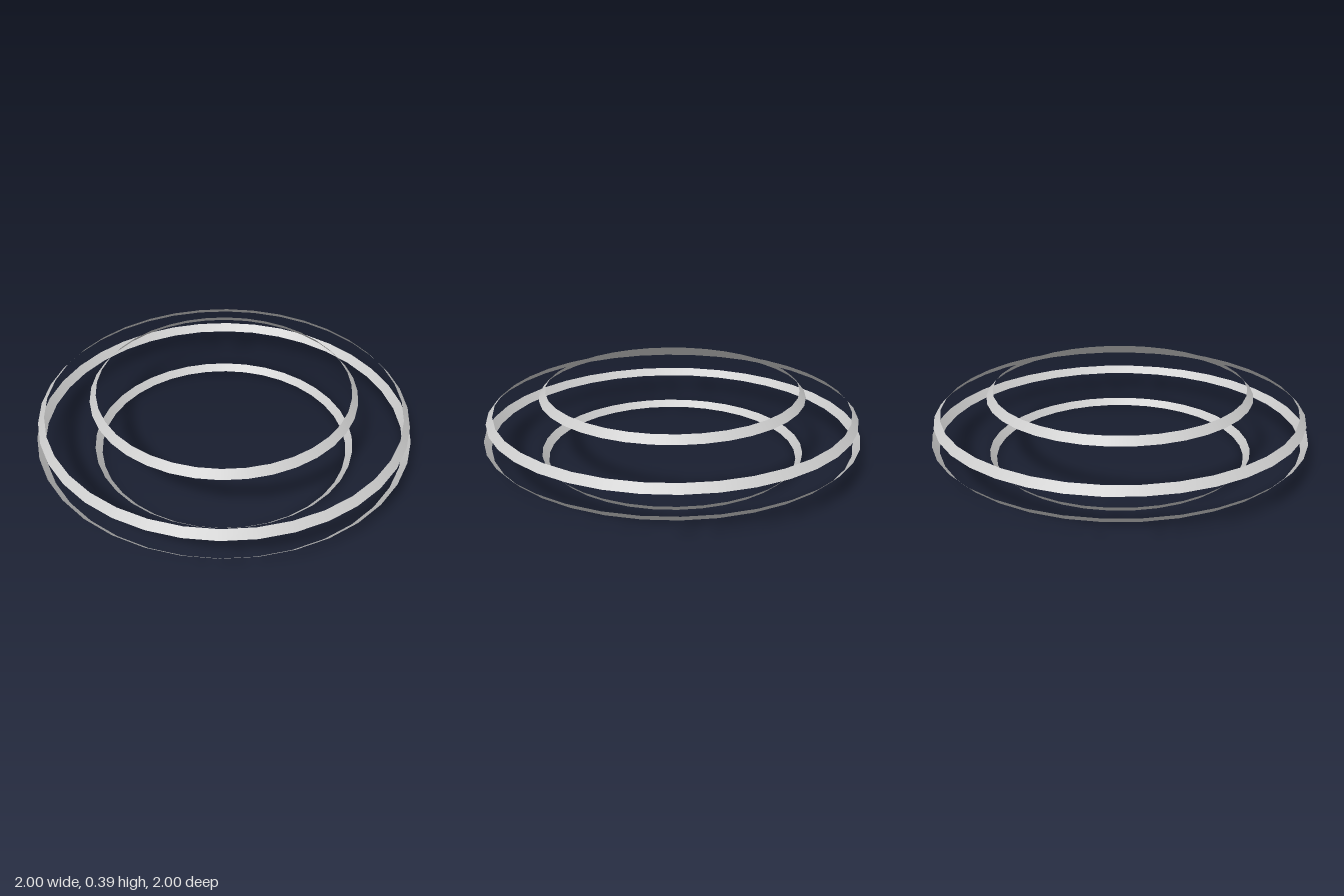
import * as THREE from 'three';

// Thin conical band, open at top and bottom
function band(name, y0, r0, y1, r1, material) {
  const geometry = new THREE.CylinderGeometry(r1, r0, y1 - y0, 36, 1, true);
  const mesh = new THREE.Mesh(geometry, material);
  mesh.position.y = (y0 + y1) / 2;
  mesh.name = name;
  return mesh;
}

export function createModel() {
  const model = new THREE.Group();
  model.name = 'stackedRings';
  const material = new THREE.MeshStandardMaterial({ color: 0xcccccc, side: THREE.DoubleSide });

  // Lower bands flare outward, upper bands taper inward
  model.add(
    band('bottomRing', 0, 0.67, 0.035, 0.705, material),
    band('lowerOuterRing', 0.108, 0.963, 0.147, 1, material),
    band('upperOuterRing', 0.243, 0.983, 0.281, 0.947, material),
    band('topRing', 0.35, 0.705, 0.388, 0.67, material),
  );
  return model;
}
